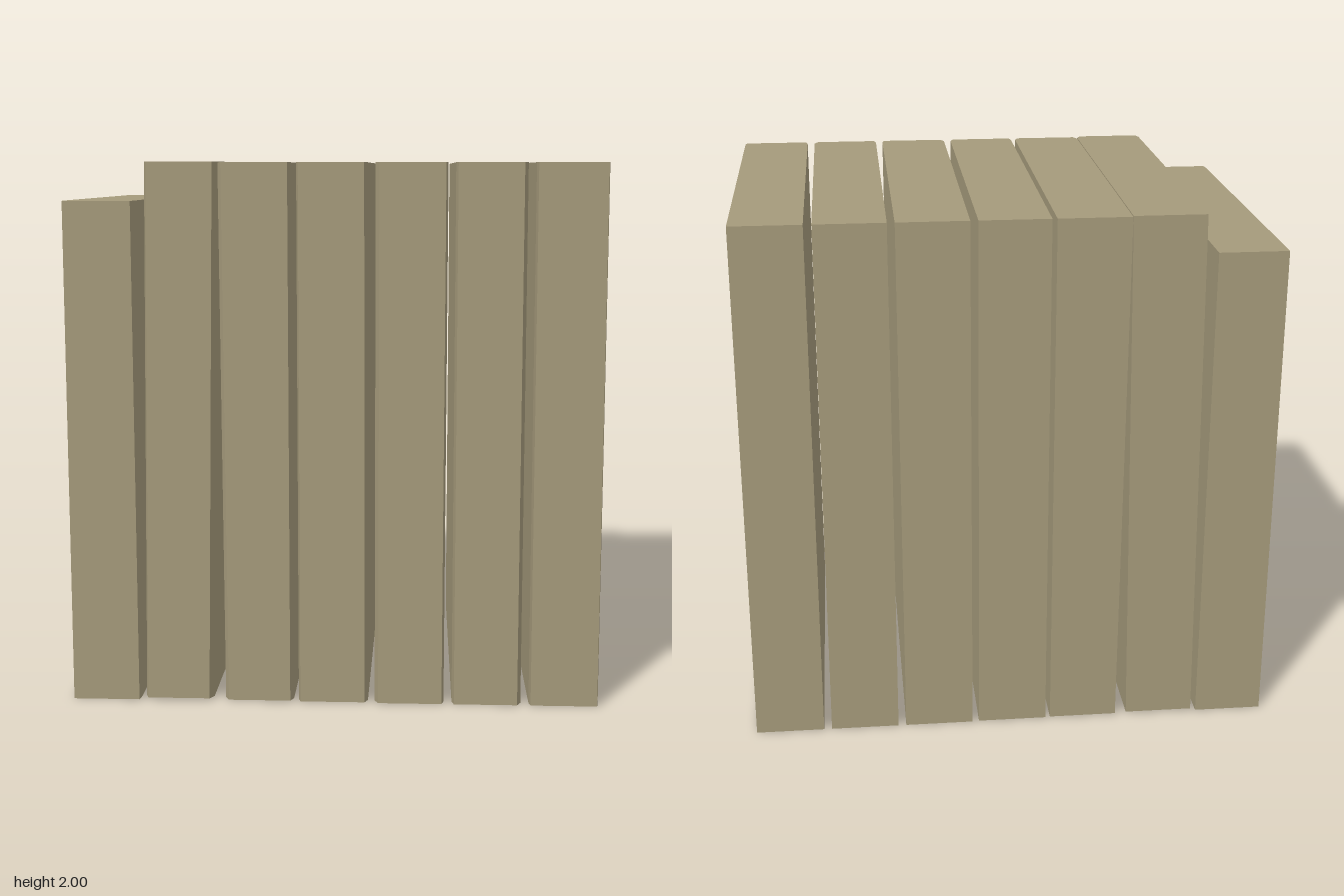
import * as THREE from 'three';

const BACK = -0.7, FRONT = 0.69, CHAMFER_DEPTH = 0.03;

// Upright block: bottom edges, top edges, heights and the widths of its two front chamfers
function makeBlock({ bottom, top, y0 = 0, y1 = 2, cl = 0.008, cr = 0.008 }, material) {
  const [l, r] = bottom, middle = (l + r) / 2;
  const outline = new THREE.Shape([
    [l, FRONT - CHAMFER_DEPTH], [l + cl, FRONT], [r - cr, FRONT],
    [r, FRONT - CHAMFER_DEPTH], [r, BACK], [l, BACK],
  ].map(([x, z]) => new THREE.Vector2(x, -z)));
  const geometry = new THREE.ExtrudeGeometry(outline, { depth: y1 - y0, bevelEnabled: false });
  geometry.rotateX(-Math.PI / 2);

  // Lean each side from its bottom edge to its top edge
  const p = geometry.attributes.position;
  for (let i = 0; i < p.count; i++) {
    const t = p.getY(i) / (y1 - y0);
    const lean = p.getX(i) < middle ? top[0] - l : top[1] - r;
    p.setXY(i, p.getX(i) + lean * t, p.getY(i) + y0);
  }
  geometry.computeVertexNormals();
  return new THREE.Mesh(geometry, material);
}

export function createModel() {
  const group = new THREE.Group();
  group.name = 'rowOfBooks';
  const khaki = new THREE.MeshStandardMaterial({ color: 0xa59a7b });
  khaki.name = 'khaki';

  // Seven books from right to left, the first one shorter, the second leaning
  const books = [
    { bottom: [-0.985, -0.73], top: [-0.985, -0.73], y1: 1.86, cl: 0.004, cr: 0.004 },
    { bottom: [-0.71, -0.453], top: [-0.685, -0.421], y0: 0.008, cl: 0.01, cr: 0.016 },
    { bottom: [-0.41, -0.153], top: [-0.42, -0.155], y0: 0.004, y1: 1.997, cl: 0.014, cr: 0.012 },
    { bottom: [-0.135, 0.125], top: [-0.137, 0.12], y0: 0.002, y1: 1.997, cr: 0.012 },
    { bottom: [0.15, 0.408], top: [0.148, 0.408], y1: 1.997, cl: 0.014 },
    { bottom: [0.438, 0.695], top: [0.435, 0.692], y1: 1.997, cr: 0.014 },
    { bottom: [0.725, 0.982], top: [0.721, 0.98], y1: 1.997, cl: 0.006, cr: 0.005 },
  ];
  books.forEach((book, i) => {
    const mesh = makeBlock(book, khaki);
    mesh.name = `book${i + 1}`;
    group.add(mesh);
  });
  return group;
}
